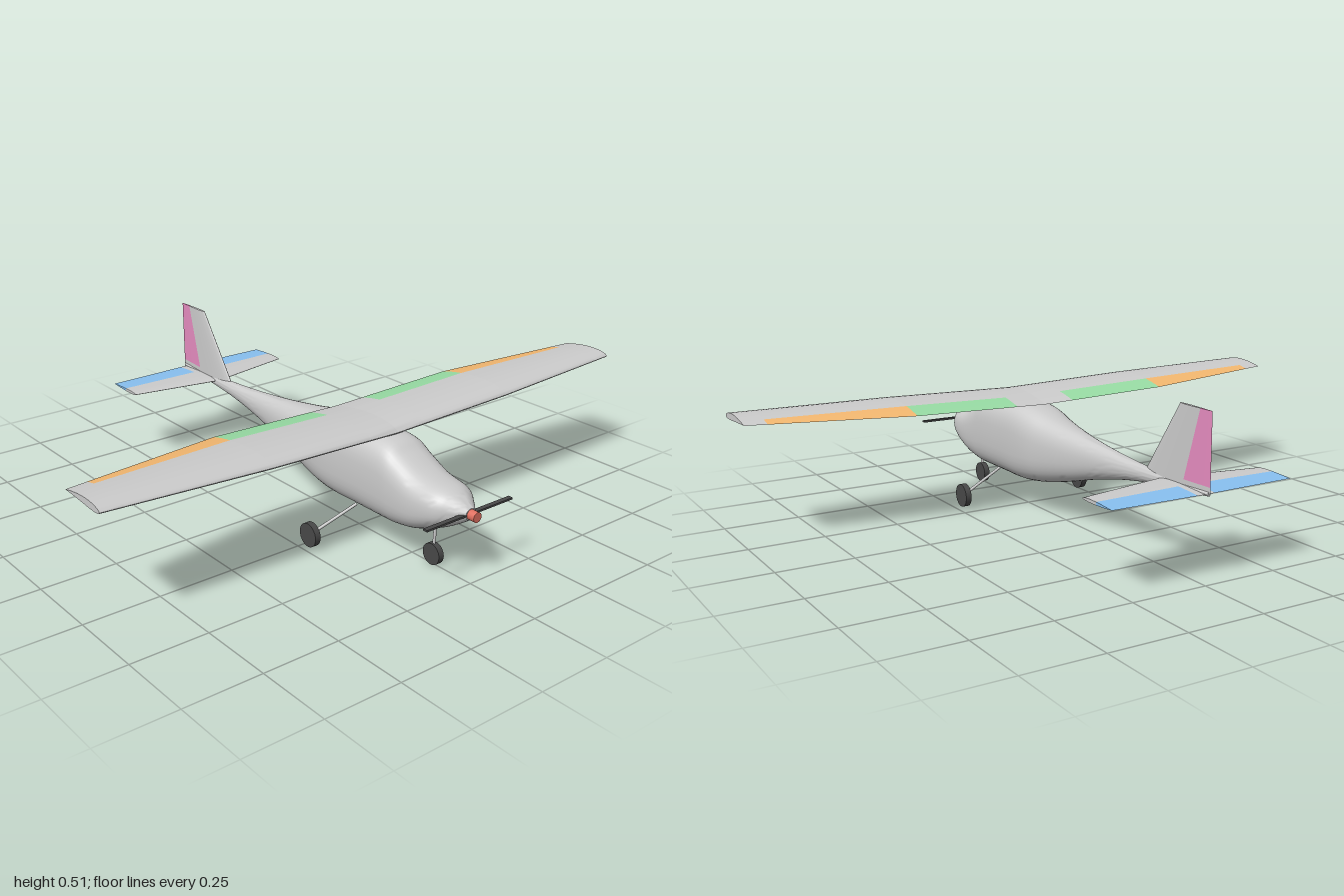
import * as THREE from 'three';
import { toCreasedNormals } from 'three/addons/utils/BufferGeometryUtils.js';

const { lerp, clamp } = THREE.MathUtils;
const GREY = 0xcccccc, DARK = 0x484848;

function mesh(parent, name, geometry, color = GREY) {
  const m = new THREE.Mesh(geometry, new THREE.MeshStandardMaterial({ color }));
  m.name = name;
  parent.add(m);
  return m;
}

// Skin a row of closed rings and cap both ends
function loft(rings, crease = 0.75) {
  const n = rings[0].length, pos = [], idx = [];
  rings.forEach(r => r.forEach(p => pos.push(...p)));
  for (let k = 0; k < rings.length - 1; k++) {
    for (let i = 0; i < n; i++) {
      const j = (i + 1) % n, a = k * n, b = a + n;
      idx.push(a + i, b + i, b + j, a + i, b + j, a + j);
    }
  }
  [0, rings.length - 1].forEach(k => {
    const c = [0, 1, 2].map(q => rings[k].reduce((s, p) => s + p[q], 0) / n);
    const ci = pos.length / 3;
    pos.push(...c);
    for (let i = 0; i < n; i++) {
      const u = k * n + i, v = k * n + (i + 1) % n;
      idx.push(ci, ...(k ? [v, u] : [u, v]));
    }
  });
  const g = new THREE.BufferGeometry();
  g.setAttribute('position', new THREE.Float32BufferAttribute(pos, 3));
  g.setIndex(idx);
  return toCreasedNormals(g, crease);
}

// Closed outline of the part of an airfoil ahead of or behind the hinge line
function foilRing(s, rear, side) {
  const chord = s.le - s.te, hinge = (s.le - s.hinge) / chord, N = 10;
  const up = [], down = [];
  for (let i = 0; i <= N; i++) {
    const f = rear ? lerp(hinge, 1, i / N) : hinge * (i / N) ** 2;
    const half = 5 * s.thick * (0.2969 * Math.sqrt(f) - 0.126 * f - 0.3516 * f ** 2 + 0.2843 * f ** 3 - 0.1036 * f ** 4);
    const camber = 4 * s.camber * f * (1 - f), z = s.le - f * chord;
    up.push([side * s.x, s.y + chord * (camber + half), z]);
    down.unshift([side * s.x, s.y + chord * (camber - half), z]);
  }
  return [...up, ...down];
}

// Flying surface: fixed front and coloured rear panels between span stations
function surface(parent, station, spans, side) {
  spans.forEach(([x0, x1, rearName, color]) => {
    const ends = [station(x0), station(x1)];
    if (side < 0) ends.reverse();
    mesh(parent, 'fixedPanel', loft(ends.map(s => foilRing(s, false, side))));
    mesh(parent, rearName, loft(ends.map(s => foilRing(s, true, side))), color);
  });
}

function rod(parent, name, from, to, r) {
  const a = new THREE.Vector3(...from), b = new THREE.Vector3(...to);
  const m = mesh(parent, name, new THREE.CylinderGeometry(r, r, a.distanceTo(b), 12));
  m.position.copy(a).lerp(b, 0.5);
  m.quaternion.setFromUnitVectors(new THREE.Vector3(0, 1, 0), b.sub(a).normalize());
}

function wheel(parent, name, x, y, z, r) {
  const m = mesh(parent, name, new THREE.CylinderGeometry(r, r, 0.02, 28), DARK);
  m.rotation.z = Math.PI / 2;
  m.position.set(x, y, z);
}

function buildFuselage(parent) {
  // z, bottom, top, half width, squareness
  const table = [
    [0.737, 0.202, 0.238, 0.02, 2], [0.70, 0.177, 0.262, 0.052, 2.1], [0.656, 0.153, 0.28, 0.081, 2.4],
    [0.57, 0.119, 0.294, 0.092, 2.7], [0.49, 0.104, 0.331, 0.096, 2.9], [0.43, 0.102, 0.36, 0.097, 3],
    [0.30, 0.102, 0.366, 0.097, 3], [0.20, 0.102, 0.365, 0.097, 3], [0.12, 0.109, 0.354, 0.093, 2.8],
    [0.04, 0.123, 0.337, 0.08, 2.6], [-0.08, 0.153, 0.319, 0.06, 2.4], [-0.20, 0.186, 0.305, 0.042, 2.2],
    [-0.35, 0.219, 0.292, 0.027, 2], [-0.50, 0.241, 0.284, 0.017, 2], [-0.755, 0.264, 0.276, 0.005, 2],
  ];
  const spline = cols => new THREE.CatmullRomCurve3(
    table.map(r => new THREE.Vector3(...cols.map(c => r[c]))), false, 'catmullrom', 0.5);
  const heights = spline([0, 1, 2]), widths = spline([0, 3, 4]);
  const rings = [], steps = 70, sides = 40;
  for (let k = 0; k <= steps; k++) {
    const h = heights.getPoint(k / steps), w = widths.getPoint(k / steps), ring = [];
    for (let i = 0; i < sides; i++) {
      const a = i / sides * Math.PI * 2, c = Math.cos(a), s = Math.sin(a);
      const soft = v => Math.sign(v) * Math.abs(v) ** (2 / w.z);
      ring.push([w.y * soft(c), (h.y + h.z) / 2 + (h.z - h.y) / 2 * soft(s), h.x]);
    }
    rings.push(ring);
  }
  mesh(parent, 'fuselage', loft(rings));
}

// Main wing: straight centre section, tapered outer part, slight dihedral
function wingStation(x) {
  const t = clamp((x - 0.47) / 0.53, 0, 1);
  return {
    x, y: 0.371 + 0.027 * x, le: lerp(0.42, 0.398, t), te: lerp(0.13, 0.215, t),
    hinge: lerp(0.215, 0.247, t), thick: 0.12, camber: 0.03,
  };
}

function tailStation(x) {
  const t = x / 0.313;
  return {
    x, y: 0.268, le: lerp(-0.535, -0.593, t), te: lerp(-0.745, -0.738, t),
    hinge: lerp(-0.652, -0.66, t), thick: 0.07, camber: 0,
  };
}

// Fin is laid out along x, then turned upright
function finStation(x) {
  const t = (x - 0.285) / 0.222;
  return {
    x, y: 0, le: lerp(-0.46, -0.615, t), te: -0.76,
    hinge: lerp(-0.645, -0.71, t), thick: 0.07, camber: 0,
  };
}

export function createModel() {
  const plane = new THREE.Group();
  plane.name = 'lightAircraft';
  const group = name => {
    const g = new THREE.Group();
    g.name = name;
    plane.add(g);
    return g;
  };
  buildFuselage(plane);

  for (const [side, label] of [[1, 'left'], [-1, 'right']]) {
    surface(group(label + 'Wing'), wingStation, [
      [0, 0.107, 'centrePanel', GREY], [0.107, 0.47, 'flap', 0x98dca4],
      [0.47, 0.93, 'aileron', 0xf4b870], [0.93, 1, 'tipPanel', GREY]], side);
    surface(group(label + 'Tailplane'), tailStation, [
      [0, 0.03, 'centrePanel', GREY], [0.03, 0.313, 'elevator', 0x88c0f0]], side);

    // Main landing gear
    const gear = group(label + 'MainGear');
    rod(gear, 'strut', [side * 0.075, 0.12, 0.322], [side * 0.233, 0.051, 0.29], 0.005);
    wheel(gear, 'wheel', side * 0.233, 0.051, 0.29, 0.039);
  }

  const fin = group('fin');
  surface(fin, finStation, [
    [0.27, 0.29, 'finRoot', GREY], [0.29, 0.507, 'rudder', 0xe68cc0]], 1);
  fin.rotation.z = Math.PI / 2;

  // Nose gear
  const nose = group('noseGear');
  rod(nose, 'strut', [0, 0.14, 0.597], [0, 0.036, 0.592], 0.005);
  wheel(nose, 'wheel', 0, 0.035, 0.592, 0.035);

  // Propeller and hub
  const prop = group('propeller');
  prop.position.set(0, 0.22, 0.73);
  mesh(prop, 'blades', new THREE.BoxGeometry(0.346, 0.006, 0.016), DARK);
  const hub = mesh(prop, 'hub', new THREE.CylinderGeometry(0.016, 0.016, 0.034, 24), 0xe07060);
  hub.rotation.x = Math.PI / 2;
  hub.position.z = 0.017;
  return plane;
}
